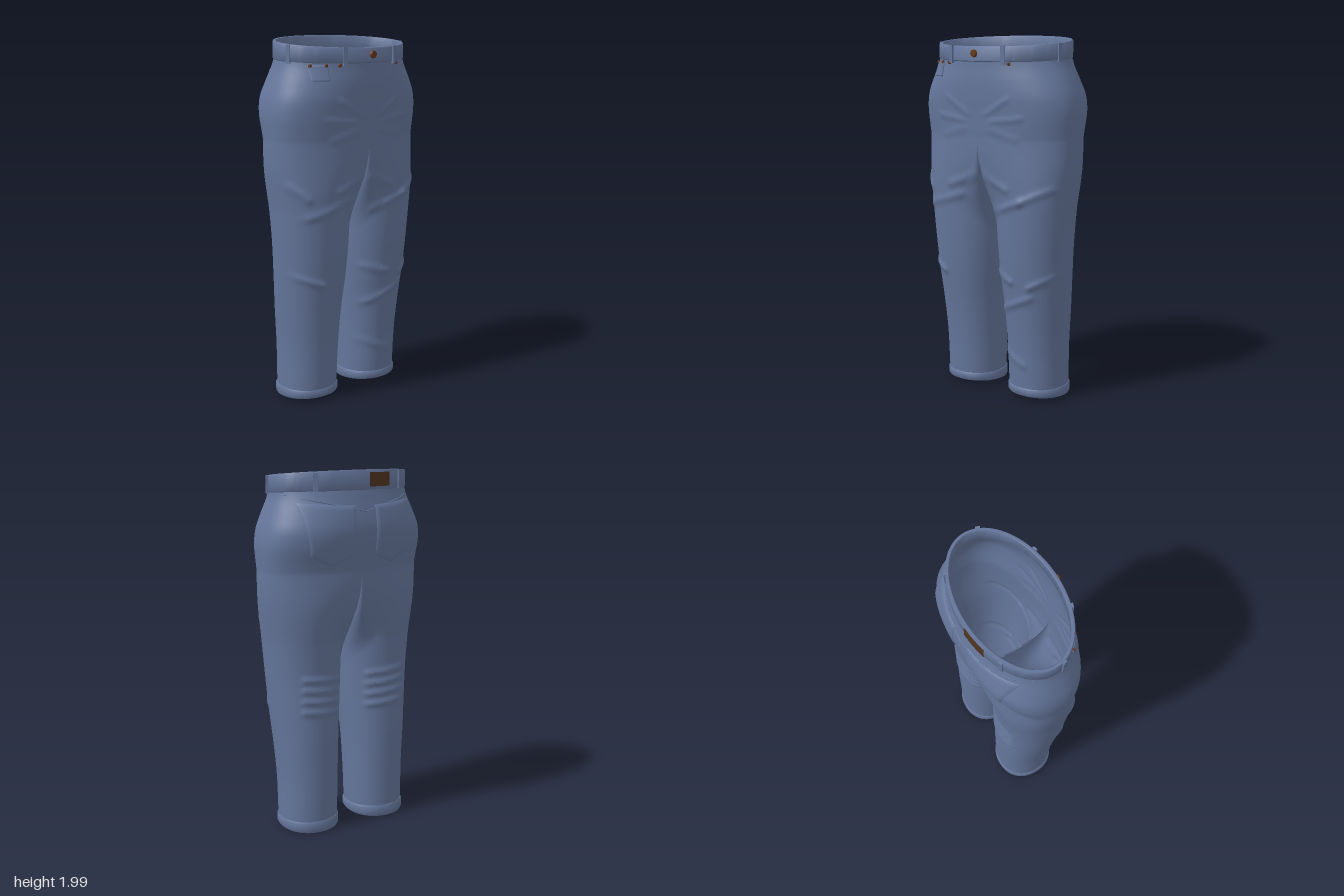
import * as THREE from 'three';
import { mergeGeometries, mergeVertices, toCreasedNormals } from 'three/addons/utils/BufferGeometryUtils.js';

const { cos, sin, abs, sign, PI } = Math;
const lerp = THREE.MathUtils.lerp;
const spow = (v, p) => sign(v) * Math.pow(abs(v), p);

// Smooth table lookup: each row is [height, ...values]
function table(rows) {
  const f = new THREE.CubicInterpolant(rows.map(r => r[0]), rows.flatMap(r => r.slice(1)), rows[0].length - 1);
  return y => [...f.evaluate(y)];
}

// Height: half width, front z, back z, squareness
const hip = table([
  [1.4, 0.474, 0.25, -0.22, 2.3], [1.5, 0.482, 0.257, -0.24, 2.4], [1.6, 0.486, 0.262, -0.265, 2.5],
  [1.68, 0.474, 0.267, -0.275, 2.5], [1.76, 0.447, 0.268, -0.268, 2.3], [1.85, 0.413, 0.262, -0.25, 2.1],
  [1.92, 0.4, 0.263, -0.237, 2], [2, 0.388, 0.262, -0.228, 2]]);
// Height: inner x, outer x, front z, back z
const leg = table([
  [0, 0.062, 0.384, 0.14, -0.181], [0.06, 0.06, 0.385, 0.145, -0.184], [0.3, 0.055, 0.388, 0.16, -0.188],
  [0.5, 0.046, 0.402, 0.18, -0.188], [0.7, 0.03, 0.418, 0.207, -0.182], [0.9, 0.018, 0.432, 0.225, -0.18],
  [1.1, 0.012, 0.448, 0.236, -0.19], [1.25, 0.004, 0.46, 0.243, -0.205], [1.5, 0, 0.48, 0.257, -0.24]]);

function hipPoint(y, b, off = 0) {
  const [hx, zf, zb, n] = hip(y), s = sin(b);
  const zc = 0.01;
  return [(hx + off) * spow(cos(b), 2 / n), zc + ((s > 0 ? zf - zc : zc - zb) + off) * spow(s, 2 / n)];
}
function hipZ(x, y, side) {
  const [hx, zf, zb, n] = hip(y), k = Math.pow(Math.max(0, 1 - Math.pow(abs(x) / hx, n)), 1 / n);
  return 0.01 + (side > 0 ? zf - 0.01 : zb - 0.01) * k;
}
function legPoint(y, a, off = 0) {
  const [xi, xo, zf, zb] = leg(y);
  return [(xi + xo) / 2 + ((xo - xi) / 2 + off) * spow(cos(a), 0.92), (zf + zb) / 2 + ((zf - zb) / 2 + off) * spow(sin(a), 0.92)];
}

// Surface from a rule (row, column) -> [x, y, z]; mirror = -1 makes the other side
function grid(rows, cols, fn, mirror = 1) {
  const pos = [], idx = [], w = cols + 1;
  for (let r = 0; r <= rows; r++) for (let c = 0; c <= cols; c++) {
    const p = fn(r, c);
    pos.push(p[0] * mirror, p[1], p[2]);
  }
  for (let r = 0; r < rows; r++) for (let c = 0; c < cols; c++) {
    const a = r * w + c, b = a + w, d = a + 1, e = b + 1;
    if (mirror > 0) idx.push(a, b, d, b, e, d); else idx.push(a, d, b, b, d, e);
  }
  const g = new THREE.BufferGeometry();
  g.setAttribute('position', new THREE.Float32BufferAttribute(pos, 3));
  g.setIndex(idx);
  g.computeVertexNormals();
  return g;
}

const SPLIT = 1.46, M = 72, K = 40, A = 2.0;
const bandBottom = z => 1.875 - 0.05 * z, bandTop = z => 1.968 - 0.1 * z;

// Half of the seat, from the waist down to where the legs part
const hipHalf = side => grid(30, M, (r, c) => {
  const b = PI / 2 - PI * c / M;
  const y = lerp(bandBottom(hipPoint(1.9, b)[1]) + 0.015, SPLIT, r / 30);
  const [x, z] = hipPoint(y, b);
  return [c === 0 || c === M ? 0 : x, y, z];
}, side);

// One leg: its top edge is half the hip outline plus the crotch seam
const legHalf = side => grid(115, M + K, (r, c) => {
  const s = r / 115, w = THREE.MathUtils.smoothstep(s, 0, 0.28);
  let top, a;
  if (c <= M) {
    const b = PI / 2 - PI * c / M, [x, z] = hipPoint(SPLIT, b);
    top = [c === 0 || c === M ? 0 : x, SPLIT, z];
    a = A - 2 * A * c / M;
  } else {
    const u = (c - M) / K, [, zf, zb] = hip(SPLIT);
    top = [0, SPLIT - 0.205 * Math.pow(abs(sin(PI * u)), 0.8), (zf + zb) / 2 - (zf - zb) / 2 * spow(cos(PI * u), 0.8)];
    a = -A - (2 * PI - 2 * A) * u;
  }
  const y = lerp(top[1], 0.02, s), [lx, lz] = legPoint(y, a);
  return [lerp(top[0], lx, w), y, lerp(top[2], lz, w)];
}, side);

// Cloth folds: x1, y1, x2, y2, height, width
const frontFolds = [
  [-0.45, 1.23, -0.38, 1.16, 0.012, 0.02], [-0.38, 1.06, -0.12, 1.14, 0.01, 0.02], [-0.2, 1.19, -0.04, 1.25, 0.01, 0.02],
  [0.04, 1.25, 0.18, 1.19, 0.01, 0.02], [0.08, 1.06, 0.27, 1.13, 0.01, 0.02], [0.27, 1.13, 0.42, 1.2, 0.01, 0.02],
  [-0.41, 0.73, -0.28, 0.68, 0.012, 0.018], [0.06, 0.72, 0.19, 0.68, 0.012, 0.018], [0.08, 0.5, 0.3, 0.6, 0.01, 0.02],
  [0.3, 0.66, 0.41, 0.72, 0.012, 0.018], [0.07, 0.27, 0.24, 0.2, 0.008, 0.02]];
const backFolds = [];
for (const s of [-1, 1]) {
  frontFolds.push([s * 0.07, 1.59, s * 0.2, 1.67, 0.006, 0.014], [s * 0.09, 1.55, s * 0.27, 1.57, 0.006, 0.014],
    [s * 0.08, 1.51, s * 0.24, 1.46, 0.006, 0.014]);
  for (let i = 0; i < 4; i++) backFolds.push([s * 0.1, 0.68 + i * 0.06, s * 0.32, 0.7 + i * 0.06, 0.01, 0.017]);
}
function foldCloth(g) {
  const p = g.attributes.position;
  for (let i = 0; i < p.count; i++) {
    const x = p.getX(i), y = p.getY(i), z = p.getZ(i);
    const side = z > 0 ? 1 : -1, k = Math.min(1, abs(z) / 0.1);
    let d = 0;
    for (const [x1, y1, x2, y2, h, w] of side > 0 ? frontFolds : backFolds) {
      const ex = x2 - x1, ey = y2 - y1;
      const t = THREE.MathUtils.clamp(((x - x1) * ex + (y - y1) * ey) / (ex * ex + ey * ey), 0, 1);
      const q = Math.hypot(x - x1 - t * ex, y - y1 - t * ey) / w;
      d += h * Math.exp(-q * q);
    }
    p.setZ(i, z + side * k * d);
  }
  g.computeVertexNormals();
  return g;
}

// Strip around the waist with a closed profile of [offset, height fraction]
const waistStrip = (profile, b0, b1, cols) => toCreasedNormals(grid(profile.length - 1, cols, (r, c) => {
  const [off, v] = profile[r], [x, z] = hipPoint(1.92, lerp(b0, b1, c / cols), off);
  return [x, lerp(bandBottom(z), bandTop(z), v), z];
}), 0.7);

// Patch pocket laid on the cloth, with its rim sunk into it
const pocket = (topL, topR, low, side, mirror) => grid(16, 16, (r, c) => {
  const step = i => i === 0 ? 0 : i === 16 ? 1 : 0.025 + 0.95 * (i - 1) / 14;
  const u = step(c), v = step(r), n = low.length - 1, i = Math.min(n - 1, Math.floor(u * n)), f = u * n - i;
  const x = lerp(lerp(topL[0], topR[0], u), lerp(low[i][0], low[i + 1][0], f), v);
  const y = lerp(lerp(topL[1], topR[1], u), lerp(low[i][1], low[i + 1][1], f), v);
  const rim = r === 0 || c === 0 || r === 16 || c === 16;
  return [x, y, hipZ(x, y, side) + side * (rim ? -0.003 : 0.008)];
}, mirror);

export function createModel() {
  const model = new THREE.Group();
  model.name = 'trousers';
  const denim = new THREE.MeshStandardMaterial({ color: 0x65769b, side: THREE.DoubleSide });
  denim.name = 'denim';
  const leather = new THREE.MeshStandardMaterial({ color: 0x4e3420, side: THREE.DoubleSide });
  leather.name = 'leather';
  const copper = new THREE.MeshStandardMaterial({ color: 0x65391b });
  copper.name = 'copper';
  const add = (name, geometry, material) => {
    const mesh = new THREE.Mesh(geometry, material);
    mesh.name = name;
    model.add(mesh);
    return mesh;
  };

  // Seat and both legs as one welded cloth
  const parts = [1, -1].flatMap(s => [hipHalf(s), legHalf(s)]);
  parts.forEach(g => g.deleteAttribute('normal'));
  add('seatAndLegs', foldCloth(mergeVertices(mergeGeometries(parts), 1e-4)), denim);

  // Waistband and leather patch
  add('waistband', waistStrip([[0.008, 1], [0.012, 0.94], [0.012, 0.06], [0.008, 0], [-0.004, 0], [-0.008, 0.06],
    [-0.008, 0.94], [-0.004, 1], [0.008, 1]], PI / 2, -1.5 * PI, 96), denim);
  add('leatherPatch', waistStrip([[0.018, 0.85], [0.018, 0.15], [0.01, 0.15], [0.01, 0.85], [0.018, 0.85]],
    -1.645, -2.0, 10), leather);

  // Turned hems
  const hem = [[0.003, 1], [0.008, 0.85], [0.008, 0.2], [0.002, 0], [-0.008, 0], [-0.012, 0.2], [-0.012, 1], [0.003, 1]];
  for (const s of [1, -1]) {
    add(s > 0 ? 'leftHem' : 'rightHem', toCreasedNormals(grid(hem.length - 1, 64, (r, c) => {
      const [off, v] = hem[r], [x, z] = legPoint(0.03, -2 * PI * c / 64, off);
      return [x, lerp(0.012 + 0.06 * z, 0.066, v), z];
    }, s), 0.8), denim);

    // Back pockets and yoke seams
    add(s > 0 ? 'leftBackPocket' : 'rightBackPocket', pocket([0.36, 1.83], [0.06, 1.81],
      [[0.31, 1.55], [0.19, 1.49], [0.07, 1.54]], -1, s), denim);
    const yoke = [0.385, 0.3, 0.2, 0.1, 0.0].map((x, i) => {
      const y = 1.865 - 0.022 * i;
      return new THREE.Vector3(s * x, y, hipZ(x, y, -1));
    });
    add('yokeSeam', new THREE.TubeGeometry(new THREE.CatmullRomCurve3(yoke), 24, 0.004, 6), denim);
  }
  add('coinPocket', pocket([-0.35, 1.855], [-0.26, 1.855], [[-0.35, 1.775], [-0.26, 1.775]], 1, 1), denim);

  // Belt loops
  for (const b of [1.14, 0.22, -0.88]) for (const s of [1, -1]) {
    const [x, z] = hipPoint(1.92, b, 0.014);
    const loop = add('beltLoop', new THREE.BoxGeometry(0.024, 0.096, 0.012), denim);
    loop.position.set(s * x, (bandBottom(z) + bandTop(z)) / 2 - 0.004, z);
    loop.rotation.y = s * Math.atan2(cos(b) / 0.41, sin(b) / 0.26);
  }

  // Button and rivets
  const stud = (name, x, y, z, radius) => {
    const mesh = add(name, new THREE.CylinderGeometry(radius * 0.85, radius, 0.012, 24), copper);
    mesh.rotation.x = PI / 2;
    mesh.position.set(x, y, z);
  };
  stud('button', 0, 1.905, 0.28, 0.021);
  for (const x of [-0.34, -0.27, -0.2, 0.2]) stud('rivet', x, 1.853, hipZ(x, 1.853, 1) + 0.008, 0.009);
  return model;
}
